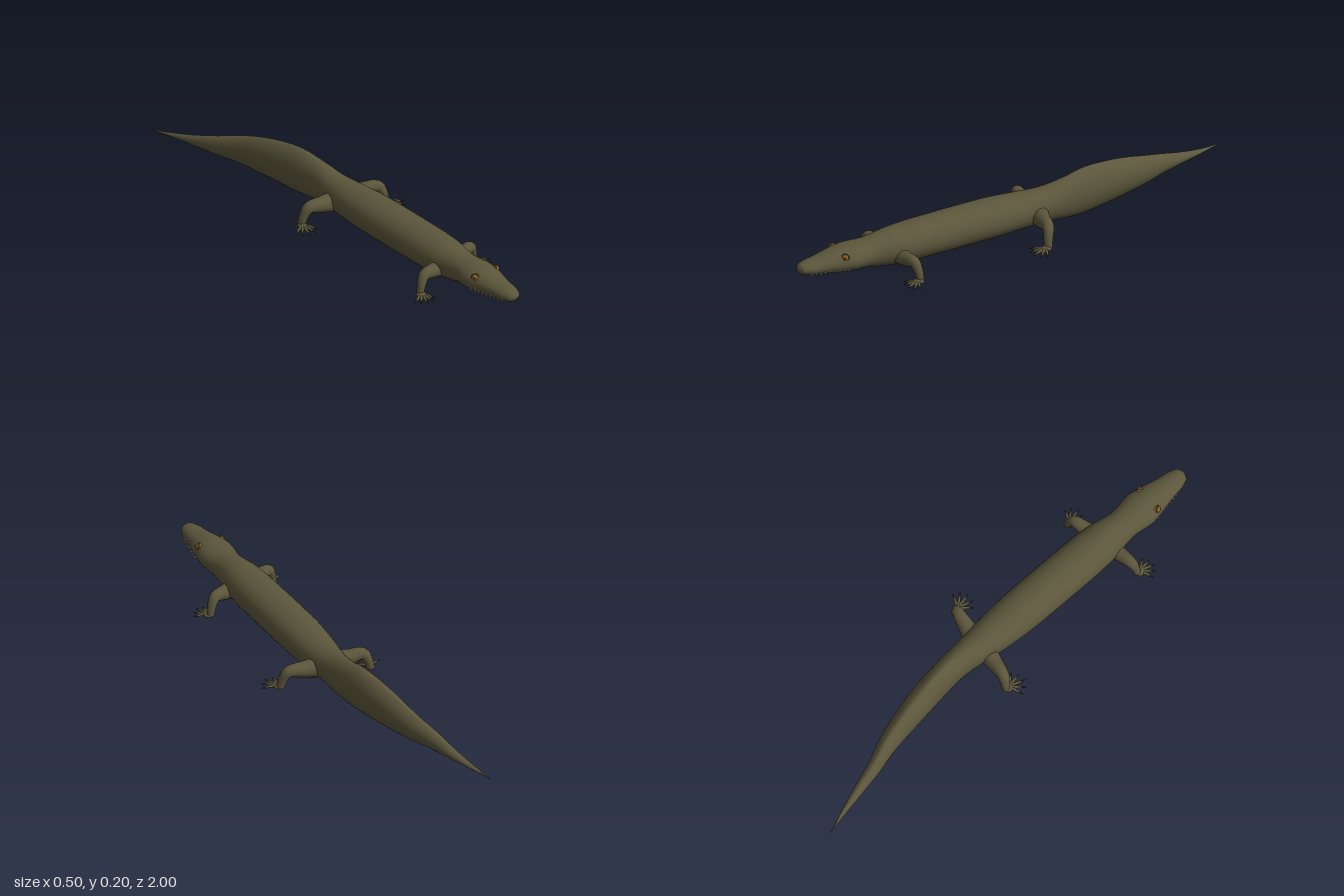
import * as THREE from 'three';

const mat = (name, color) => Object.assign(new THREE.MeshStandardMaterial({ color }), { name });

export function createModel() {
  const skin = mat('olive skin', 0x5b563b);
  const claw = mat('dark claw', 0x35332a);
  const amber = mat('amber eye', 0x94641c);
  const black = mat('pupil', 0x1c1810);
  const ivory = mat('tooth', 0xc2c0b4);
  const model = new THREE.Group();

  const add = (parent, name, geo, material, pos = [0, 0, 0]) => {
    const mesh = new THREE.Mesh(geo, material);
    mesh.name = name;
    mesh.position.set(...pos);
    parent.add(mesh);
    return mesh;
  };

  // Tube whose radius follows a list of values along the path
  const taper = (points, radii, sides = 12, steps = 20) => {
    const curve = new THREE.CatmullRomCurve3(points.map((p) => new THREE.Vector3(...p)));
    const geo = new THREE.TubeGeometry(curve, steps, 1, sides);
    const p = geo.attributes.position, v = new THREE.Vector3();
    for (let i = 0; i <= steps; i++) {
      const c = curve.getPointAt(i / steps);
      const f = (i / steps) * (radii.length - 1), k = Math.min(Math.floor(f), radii.length - 2);
      const r = THREE.MathUtils.lerp(radii[k], radii[k + 1], f - k);
      for (let j = 0; j <= sides; j++) {
        const n = i * (sides + 1) + j;
        v.fromBufferAttribute(p, n).sub(c).multiplyScalar(r).add(c);
        p.setXYZ(n, v.x, v.y, v.z);
      }
    }
    return geo;
  };

  // Body stations: z, centre x, half width, bottom y, top y
  const stations = [
    [0.995, -0.003, 0.012, 0.100, 0.118], [0.985, -0.003, 0.029, 0.090, 0.130],
    [0.95, -0.003, 0.042, 0.080, 0.138], [0.9, -0.003, 0.050, 0.073, 0.145],
    [0.83, -0.003, 0.065, 0.062, 0.158], [0.77, -0.003, 0.075, 0.056, 0.162],
    [0.70, -0.003, 0.066, 0.050, 0.162], [0.66, -0.003, 0.066, 0.038, 0.167],
    [0.58, -0.003, 0.080, 0.028, 0.176], [0.48, -0.003, 0.087, 0.024, 0.180],
    [0.14, -0.003, 0.087, 0.022, 0.180], [0, -0.002, 0.077, 0.024, 0.171],
    [-0.1, 0, 0.064, 0.024, 0.168], [-0.2, 0, 0.055, 0.010, 0.184],
    [-0.3, -0.011, 0.054, 0.002, 0.199], [-0.4, -0.025, 0.053, 0.007, 0.190],
    [-0.5, -0.043, 0.047, 0.012, 0.170], [-0.6, -0.064, 0.039, 0.018, 0.140],
    [-0.7, -0.096, 0.030, 0.022, 0.105], [-0.8, -0.121, 0.021, 0.025, 0.072],
    [-0.9, -0.147, 0.011, 0.026, 0.046], [-1, -0.174, 0.001, 0.025, 0.030],
  ];
  const sample = (t) => {
    const k = Math.min(Math.floor(t), stations.length - 2), f = t - k;
    const at = (i) => stations[THREE.MathUtils.clamp(i, 0, stations.length - 1)];
    return at(k).map((b, c) => {
      const a = at(k - 1)[c], d = at(k + 1)[c], e = at(k + 2)[c];
      if (c === 0) return b + (d - b) * f;
      return b + 0.5 * f * (d - a + f * (2 * a - 5 * b + 4 * d - e + f * (3 * (b - d) + e - a)));
    });
  };

  // Lofted head, trunk and tail; the tail is pinched top and bottom
  const SIDES = 32, RINGS = (stations.length - 1) * 4;
  const verts = [], index = [];
  for (let i = 0; i <= RINGS; i++) {
    const [z, x, w, y0, y1] = sample(i / 4);
    const pinch = 1 + 0.3 * THREE.MathUtils.smoothstep(-z, 0.05, 0.35);
    for (let j = 0; j < SIDES; j++) {
      const a = (j / SIDES) * Math.PI * 2, c = Math.cos(a);
      verts.push(x + w * Math.sign(c) * Math.abs(c) ** pinch, (y0 + y1) / 2 + ((y1 - y0) / 2) * Math.sin(a), z);
      if (i < RINGS) {
        const p = i * SIDES + j, q = i * SIDES + ((j + 1) % SIDES);
        index.push(p, p + SIDES, q, q, p + SIDES, q + SIDES);
      }
    }
  }
  const tip = verts.length / 3, end = RINGS * SIDES;
  verts.push(-0.003, 0.109, 0.998, -0.175, 0.0275, -1.002);
  for (let j = 0; j < SIDES; j++) {
    const n = (j + 1) % SIDES;
    index.push(tip, j, n, tip + 1, end + n, end + j);
  }
  const bodyGeo = new THREE.BufferGeometry();
  bodyGeo.setAttribute('position', new THREE.Float32BufferAttribute(verts, 3));
  bodyGeo.setIndex(index);
  bodyGeo.computeVertexNormals();
  add(model, 'body', bodyGeo, skin);

  // Legs: side, root z, ankle x and z, toe length, thickness
  const legs = [
    ['frontLeftLeg', 1, 0.57, 0.163, 0.54, 0.062, 0.9],
    ['frontRightLeg', -1, 0.59, 0.165, 0.61, 0.062, 0.9],
    ['backLeftLeg', 1, -0.06, 0.186, -0.02, 0.07, 1],
    ['backRightLeg', -1, -0.06, 0.182, -0.09, 0.07, 1],
  ];
  for (const [name, s, zr, xa, za, len, k] of legs) {
    const leg = new THREE.Group();
    leg.name = name;
    model.add(leg);
    const mid = (f) => zr + (za - zr) * f;
    add(leg, 'limb', taper([
      [s * 0.04, 0.082, zr], [s * 0.09, 0.083, mid(0.25)], [s * (xa - 0.028), 0.085, mid(0.6)],
      [s * (xa - 0.01), 0.055, mid(0.85)], [s * xa, 0.016, za],
    ], [0.042, 0.034, 0.027, 0.02, 0.016].map((r) => r * k)), skin);
    const palm = add(leg, 'palm', new THREE.SphereGeometry(0.02, 16, 10), skin, [s * (xa + 0.003), 0.016, za + 0.01]);
    palm.scale.set(1, 0.5, 1.1);
    // Five splayed toes, each ending in a claw
    for (let t = 0; t < 5; t++) {
      const a = s * (0.25 + (t - 2) * 0.46);
      const l = len * (1 - 0.07 * Math.abs(t - 2));
      const at = (d, y) => [s * (xa + 0.003) + Math.sin(a) * d, y, za + 0.012 + Math.cos(a) * d];
      add(leg, 'toe', taper([at(0, 0.015), at(l * 0.45, 0.016), at(l * 0.8, 0.011)], [0.008, 0.0065, 0.004], 8, 8), skin);
      add(leg, 'claw', taper([at(l * 0.74, 0.012), at(l * 0.9, 0.011), at(l * 1.1, 0.007)], [0.0045, 0.003, 0.0003], 6, 5), claw);
    }
  }

  for (const s of [-1, 1]) {
    // Eyes with slit pupils
    const eye = new THREE.Group();
    eye.name = s > 0 ? 'leftEye' : 'rightEye';
    eye.position.set(-0.003 + s * 0.051, 0.138, 0.812);
    eye.rotation.set(-0.35, s * 0.95, 0);
    model.add(eye);
    add(eye, 'eyeball', new THREE.SphereGeometry(0.014, 16, 12), amber);
    add(eye, 'eyelid', new THREE.TorusGeometry(0.0135, 0.003, 8, 20), skin, [0, 0, 0.003]);
    add(eye, 'pupil', new THREE.SphereGeometry(0.004, 10, 8), black, [0, 0, 0.0125]).scale.set(0.5, 1.5, 0.6);

    // Upper teeth along the jaw line
    for (let i = 0; i < 9; i++) {
      const z = 0.955 - i * 0.019;
      const w = THREE.MathUtils.lerp(0.037, 0.066, i / 8);
      const tooth = add(model, 'tooth', new THREE.ConeGeometry(0.0035, i % 3 === 1 ? 0.022 : 0.016, 6), ivory,
        [-0.003 + s * w, 0.089 - i * 0.0012, z]);
      tooth.rotation.set(Math.PI, 0, s * 0.12);
    }
  }
  return model;
}
